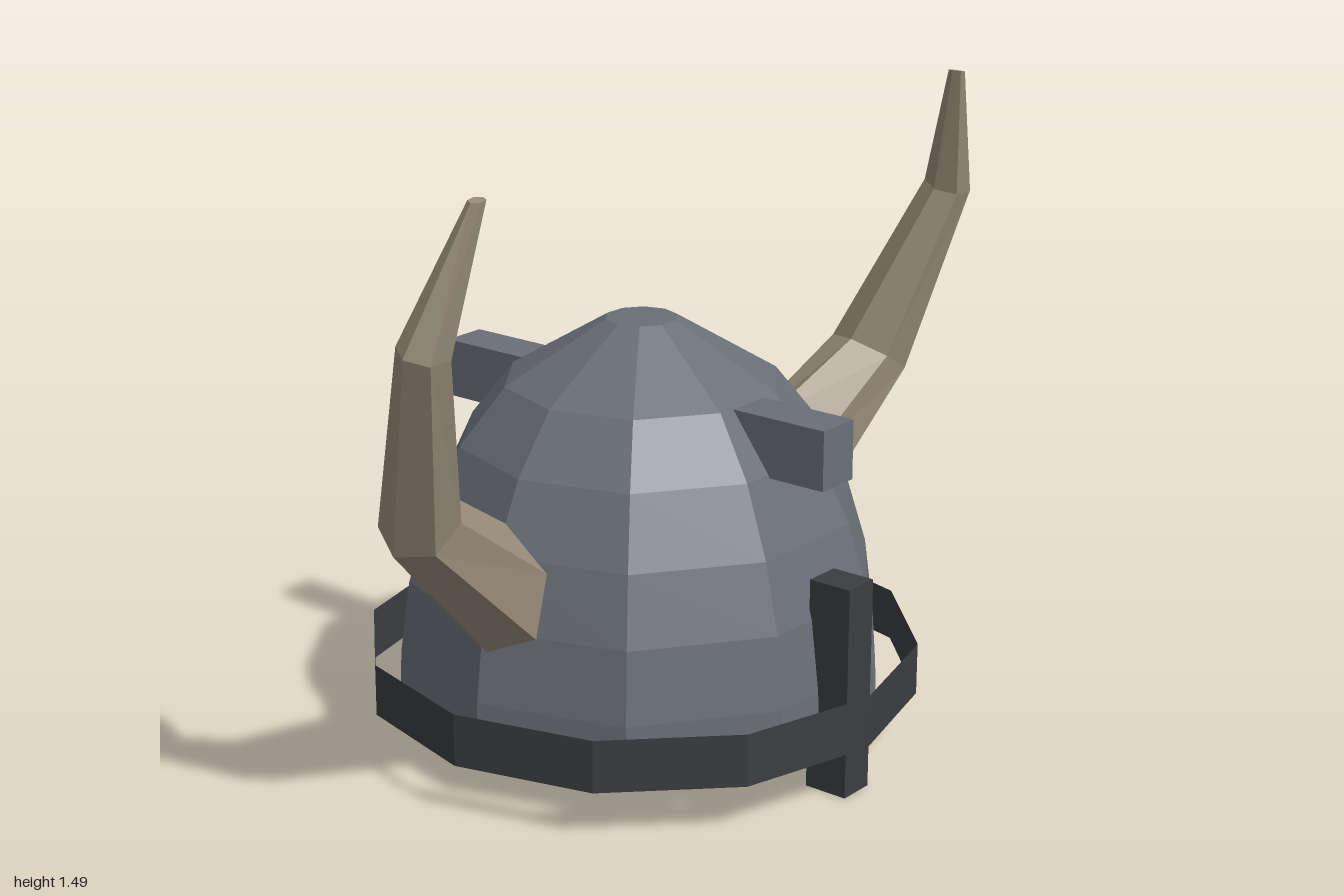
import * as THREE from 'three';

const mat = (color) =>
  new THREE.MeshStandardMaterial({ color, flatShading: true, side: THREE.DoubleSide });

function add(parent, name, geometry, material, x = 0, y = 0, z = 0) {
  const mesh = new THREE.Mesh(geometry, material);
  mesh.name = name;
  mesh.position.set(x, y, z);
  parent.add(mesh);
  return mesh;
}

// Horn cross-sections: centre, outward radius vector, forward radius vector
const hornSections = [
  { c: [0.475, 0.458, 0.0], u: [0, -0.18, 0], v: [0, 0, 0.139] },
  { c: [0.82, 0.75, 0.07], u: [0.08, -0.05, 0], v: [0, -0.015, 0.096] },
  { c: [0.94, 1.18, 0.21], u: [0.06, 0, 0], v: [0, -0.015, 0.055] },
  { c: [0.853, 1.488, 0.282], u: [0.018, -0.003, 0], v: [0, 0, 0.02] },
];

// Six-sided horn lofted through the sections; side is +1 (left) or -1 (right)
function hornGeometry(side) {
  const n = 6;
  const positions = [];
  const index = [];
  const tri = (a, b, c) => (side > 0 ? index.push(a, b, c) : index.push(a, c, b));
  for (const { c, u, v } of hornSections) {
    for (let k = 0; k < n; k++) {
      const a = (k / n) * Math.PI * 2;
      const p = c.map((value, i) => value + u[i] * Math.cos(a) + v[i] * Math.sin(a));
      positions.push(p[0] * side, p[1], p[2]);
    }
  }
  const last = (hornSections.length - 1) * n;
  for (let row = 0; row < last; row += n) {
    for (let k = 0; k < n; k++) {
      const a = row + k;
      const b = row + ((k + 1) % n);
      tri(a, a + n, b);
      tri(b, a + n, b + n);
    }
  }
  // End caps
  for (let k = 1; k < n - 1; k++) {
    tri(0, k, k + 1);
    tri(last, last + k + 1, last + k);
  }
  const geometry = new THREE.BufferGeometry();
  geometry.setAttribute('position', new THREE.Float32BufferAttribute(positions, 3));
  geometry.setIndex(index);
  geometry.computeVertexNormals();
  return geometry;
}

export function createModel() {
  const helmet = new THREE.Group();
  helmet.name = 'hornedHelmet';
  const steel = mat(0x6a6f77);
  const darkIron = mat(0x3b3d41);
  const horn = mat(0x9a8d7a);

  // Open ten-sided dome with a small flat crown
  const profile = [
    [0.585, 0.115], [0.58, 0.24], [0.557, 0.41], [0.508, 0.57],
    [0.432, 0.73], [0.325, 0.865], [0.085, 1.01], [0, 1.01],
  ].map(([r, y]) => new THREE.Vector2(r, y));
  add(helmet, 'dome', new THREE.LatheGeometry(profile, 10, Math.PI / 2), steel);

  // Thin loose band around the rim
  const band = new THREE.CylinderGeometry(0.657, 0.657, 0.125, 12, 1, true);
  add(helmet, 'rimBand', band, darkIron, 0, 0.178, 0);

  // Nose guard
  add(helmet, 'noseGuard', new THREE.BoxGeometry(0.09, 0.505, 0.108), darkIron, 0, 0.2525, 0.577);

  // Bar through the crown, showing as a stud at front and back
  add(helmet, 'crownBar', new THREE.BoxGeometry(0.112, 0.14, 1.12), steel, 0, 0.793, 0);

  // Mirrored horns
  add(helmet, 'leftHorn', hornGeometry(1), horn);
  add(helmet, 'rightHorn', hornGeometry(-1), horn);

  return helmet;
}
